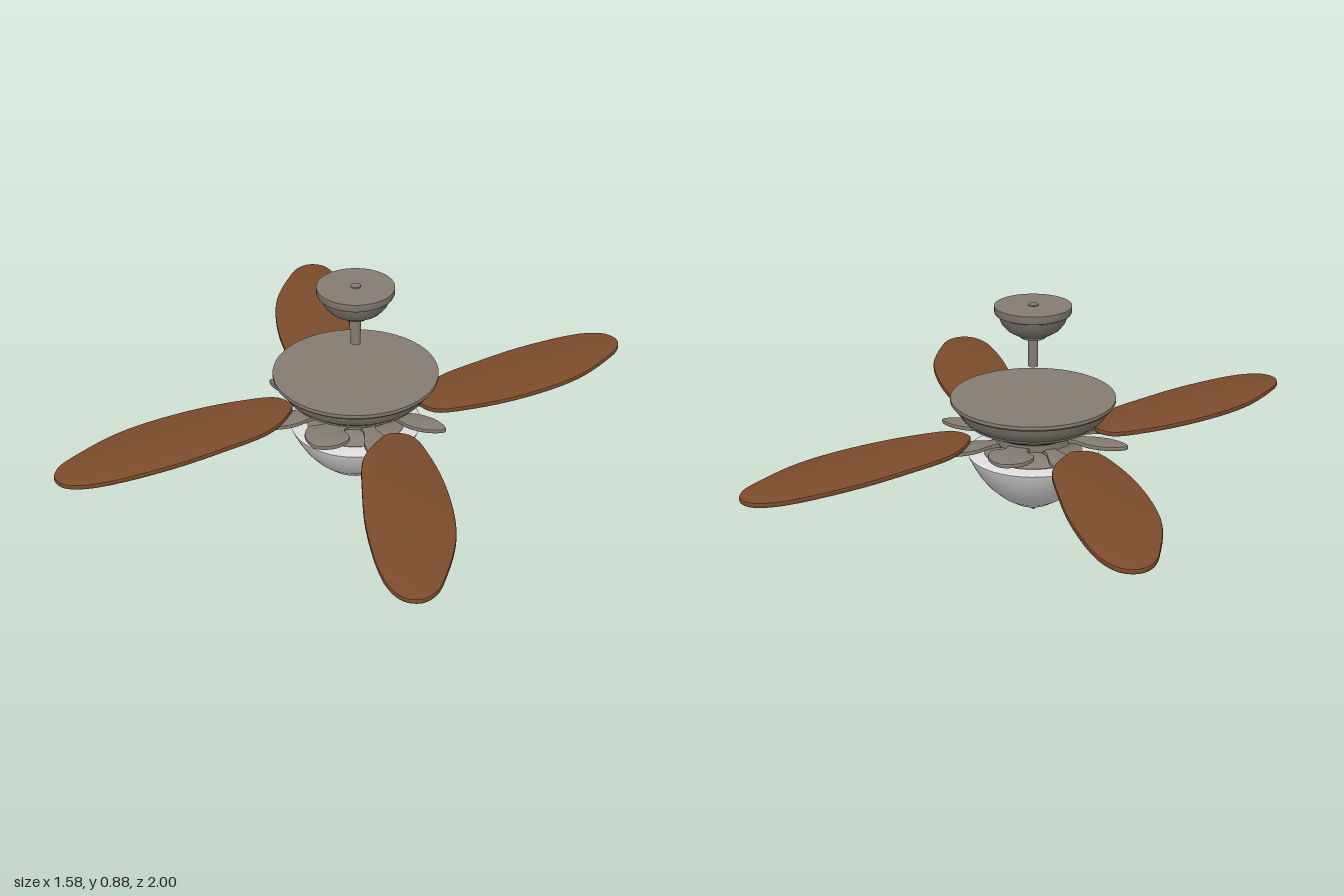
import * as THREE from 'three';
import { toCreasedNormals } from 'three/addons/utils/BufferGeometryUtils.js';

export function createModel() {
  const fan = new THREE.Group();
  fan.name = 'ceilingFan';

  const material = (name, color) => {
    const m = new THREE.MeshStandardMaterial({ color });
    m.name = name;
    return m;
  };
  const metal = material('brushedMetal', 0x857c73);
  const wood = material('wood', 0x7b4c2b);
  const glass = material('frostedGlass', 0xdcdcdc);

  const add = (name, geometry, mat) => {
    const mesh = new THREE.Mesh(geometry, mat);
    mesh.name = name;
    fan.add(mesh);
    return mesh;
  };
  // Turned part from [radius, height] pairs, listed bottom to top
  const turned = (name, profile, mat) => {
    const points = profile.map(([r, y]) => new THREE.Vector2(r, y));
    add(name, toCreasedNormals(new THREE.LatheGeometry(points, 56), 0.5), mat);
  };
  // Flat plate from a smooth closed outline of [x, z] pairs
  const plate = (name, outline, y, depth, bevel, mat) => {
    const curve = new THREE.CatmullRomCurve3(
      outline.map(([x, z]) => new THREE.Vector3(x, -z, 0)), true, 'centripetal');
    const shape = new THREE.Shape(
      curve.getPoints(64).slice(0, -1).map((p) => new THREE.Vector2(p.x, p.y)));
    const geometry = new THREE.ExtrudeGeometry(shape, {
      depth: depth - 2 * bevel, bevelThickness: bevel, bevelSize: bevel,
      bevelOffset: -bevel, bevelSegments: 2,
    });
    geometry.rotateX(-Math.PI / 2);
    geometry.translate(0, y + bevel, 0);
    return add(name, toCreasedNormals(geometry, 0.6), mat);
  };

  // Ceiling canopy with its cap screw, and the short down rod
  turned('canopy', [
    [0, 0.742], [0.05, 0.742], [0.055, 0.755], [0.075, 0.76], [0.103, 0.777],
    [0.125, 0.803], [0.137, 0.835], [0.148, 0.84], [0.152, 0.848], [0.152, 0.872], [0, 0.872],
  ], metal);
  turned('canopyScrew', [[0.02, 0.87], [0.02, 0.877], [0, 0.877]], metal);
  turned('downRod', [[0, 0.622], [0.02, 0.622], [0.02, 0.75]], metal);

  // Motor housing
  turned('motorHousing', [
    [0, 0.345], [0.16, 0.345], [0.175, 0.358], [0.205, 0.367], [0.235, 0.382],
    [0.25, 0.396], [0.266, 0.398], [0.266, 0.405], [0.288, 0.422], [0.303, 0.445],
    [0.312, 0.469], [0.325, 0.473], [0.33, 0.48], [0.33, 0.494], [0, 0.494],
  ], metal);

  // Neck with a flared light fitter
  turned('neck', [
    [0, 0.255], [0.2, 0.255], [0.2, 0.264], [0.17, 0.275], [0.152, 0.292],
    [0.145, 0.31], [0.16, 0.315], [0.16, 0.35],
  ], metal);

  // Glass bowl and finial
  turned('glassBowl', [
    [0, 0.024], [0.03, 0.026], [0.08, 0.042], [0.13, 0.074], [0.178, 0.117],
    [0.215, 0.162], [0.242, 0.208], [0.258, 0.24], [0.265, 0.258], [0.255, 0.262], [0.15, 0.262],
  ], glass);
  turned('finial', [
    [0, 0], [0.008, 0.002], [0.011, 0.01], [0.02, 0.016], [0.038, 0.026], [0.035, 0.031], [0, 0.031],
  ], metal);

  // Four blades, mirrored in x and z
  const bladeOutline = [
    [0.2, 0.2], [0.22, 0.13], [0.3, 0.107], [0.43, 0.205], [0.59, 0.39], [0.72, 0.61],
    [0.778, 0.82], [0.788, 0.92], [0.76, 0.98], [0.7, 1], [0.61, 0.955], [0.43, 0.74],
    [0.3, 0.525], [0.205, 0.33],
  ];
  for (const sx of [1, -1]) {
    for (const sz of [1, -1]) {
      const outline = bladeOutline.map(([x, z]) => [x * sx, z * sz]);
      plate('blade', outline, 0.321, 0.021, 0.006, wood);
    }
  }

  // Leaf-shaped blade arms around the neck
  const arm = (angle, length, halfWidth, y) => {
    const side = [[0.12, 0.5], [0.18, 0.5], [0.66 * length, 1], [0.87 * length, 0.8]];
    const outline = [
      ...side.map(([r, w]) => [r, w * halfWidth]),
      [length, 0],
      ...side.reverse().map(([r, w]) => [r, -w * halfWidth]),
    ];
    plate('bladeArm', outline, y, 0.018, 0.005, metal).rotation.y = angle;
  };
  for (const turn of [0, Math.PI]) {
    arm(turn, 0.4, 0.048, 0.322);
    arm(turn + Math.PI / 2, 0.335, 0.09, 0.316);
    for (const diagonal of [0.77, -0.77]) arm(turn + diagonal, 0.42, 0.055, 0.306);
  }

  return fan;
}
